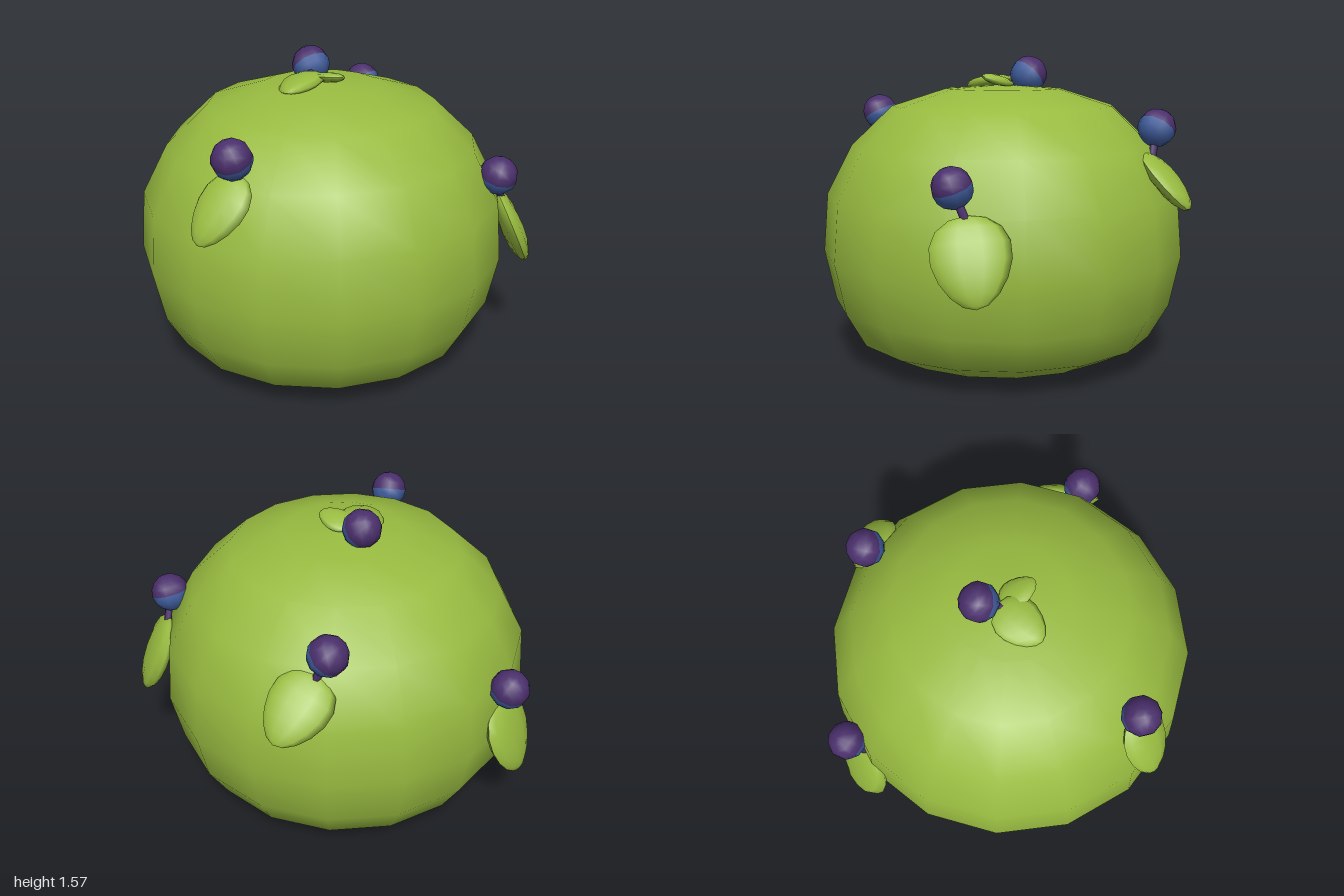
import * as THREE from 'three';

const mat = (name, color) => Object.assign(new THREE.MeshStandardMaterial({ color }), { name });
const v = (a) => new THREE.Vector3(...a);

export function createModel() {
  const green = mat('leaf green', 0x98bb40);
  const purple = mat('berry purple', 0x4a2f6c);
  const blue = mat('berry blue', 0x3f5c9c);

  const model = new THREE.Group();
  model.name = 'bush';
  const add = (parent, name, geometry, material) => {
    const mesh = new THREE.Mesh(geometry, material);
    mesh.name = name;
    parent.add(mesh);
    return mesh;
  };

  // Rounded body: a squat dome with a flattened underside
  const profile = [
    [0, 0], [0.33, 0.012], [0.61, 0.045], [0.785, 0.135], [0.885, 0.31], [0.94, 0.57],
    [0.915, 0.87], [0.785, 1.12], [0.575, 1.32], [0.297, 1.408], [0, 1.425],
  ].map(([r, y]) => new THREE.Vector2(r, y));
  const body = add(model, 'body', new THREE.LatheGeometry(profile, 16), green);
  body.position.x = -0.06;

  // Leaf: a flattened ball, broad near the stem (+y) and narrower at the tip
  const leafGeo = new THREE.SphereGeometry(1, 10, 8);
  const p = leafGeo.attributes.position;
  for (let i = 0; i < p.count; i++) {
    const y = p.getY(i);
    p.setX(i, p.getX(i) * (1 + 0.22 * y));
  }
  leafGeo.computeVertexNormals();

  const addLeaf = (parent, { at, normal, up, size }) => {
    const z = v(normal).normalize();
    const x = v(up).cross(z).normalize();
    const y = z.clone().cross(x);
    const leaf = add(parent, 'leaf', leafGeo, green);
    leaf.quaternion.setFromRotationMatrix(new THREE.Matrix4().makeBasis(x, y, z));
    leaf.position.copy(v(at));
    leaf.scale.set(...size);
    return v(at).addScaledVector(y, size[1] * 0.75);
  };

  // Berry: purple cap and blue underside, split across the pole direction
  const R = 0.097;
  const capGeo = new THREE.SphereGeometry(R, 10, 4, 0, Math.PI * 2, 0, Math.PI / 2);
  const baseGeo = new THREE.SphereGeometry(R, 10, 4, 0, Math.PI * 2, Math.PI / 2, Math.PI / 2);
  const up = new THREE.Vector3(0, 1, 0);
  const addBerry = (parent, at, pole) => {
    const berry = new THREE.Group();
    berry.name = 'berry';
    add(berry, 'berryCap', capGeo, purple);
    add(berry, 'berryBase', baseGeo, blue);
    berry.position.copy(v(at));
    berry.quaternion.setFromUnitVectors(up, v(pole).normalize());
    parent.add(berry);
  };

  const addStem = (parent, from, to) => {
    const d = to.clone().sub(from);
    const stem = add(parent, 'stem', new THREE.CylinderGeometry(0.02, 0.02, d.length(), 6), purple);
    stem.position.copy(from).addScaledVector(d, 0.5);
    stem.quaternion.setFromUnitVectors(up, d.normalize());
  };

  // Sprouts: one berry each, held by a stem over its leaves
  const sprouts = [
    { name: 'frontSprout', berry: [-0.52, 1.26, 0.64], pole: [-0.2, 0.88, 0.4], leaves: [
      { at: [-0.585, 1.04, 0.69], normal: [-0.45, 0.6, 0.65], up: [0.45, 0.6, -0.25], size: [0.13, 0.185, 0.055] }] },
    { name: 'leftSprout', berry: [0.785, 1.01, 0.32], pole: [0.15, 0.92, 0.33], leaves: [
      { at: [0.893, 0.7, 0.245], normal: [0.9, 0.4, 0.08], up: [-0.15, 0.31, 0.02], size: [0.18, 0.21, 0.058] }] },
    { name: 'topSprout', berry: [-0.1, 1.477, -0.14], pole: [-0.3, 0.65, -0.65], leaves: [
      { at: [-0.17, 1.435, 0.055], normal: [-0.2, 1, 0.05], up: [0.1, 0, -0.13], size: [0.11, 0.135, 0.035] },
      { at: [-0.025, 1.452, 0.035], normal: [0.05, 0.95, -0.27], up: [-0.07, 0, -0.1], size: [0.075, 0.095, 0.026] }] },
    { name: 'backSprout', berry: [0.25, 1.22, -0.74], pole: [-0.4, 0.72, -0.5], leaves: [
      { at: [0.4, 0.97, -0.755], normal: [0.3, 0.7, -0.65], up: [-0.25, 0.25, 0.12], size: [0.15, 0.19, 0.055] }] },
    { name: 'backRightSprout', berry: [-0.64, 0.86, -0.77], pole: [-0.1, 0.9, -0.4], leaves: [
      { at: [-0.69, 0.54, -0.725], normal: [-0.6, 0.35, -0.7], up: [0.08, 0.31, 0.08], size: [0.18, 0.21, 0.058] }] },
  ];
  for (const s of sprouts) {
    const sprout = new THREE.Group();
    sprout.name = s.name;
    model.add(sprout);
    const roots = s.leaves.map((leaf) => addLeaf(sprout, leaf));
    addStem(sprout, roots[0], v(s.berry));
    addBerry(sprout, s.berry, s.pole);
  }
  return model;
}
